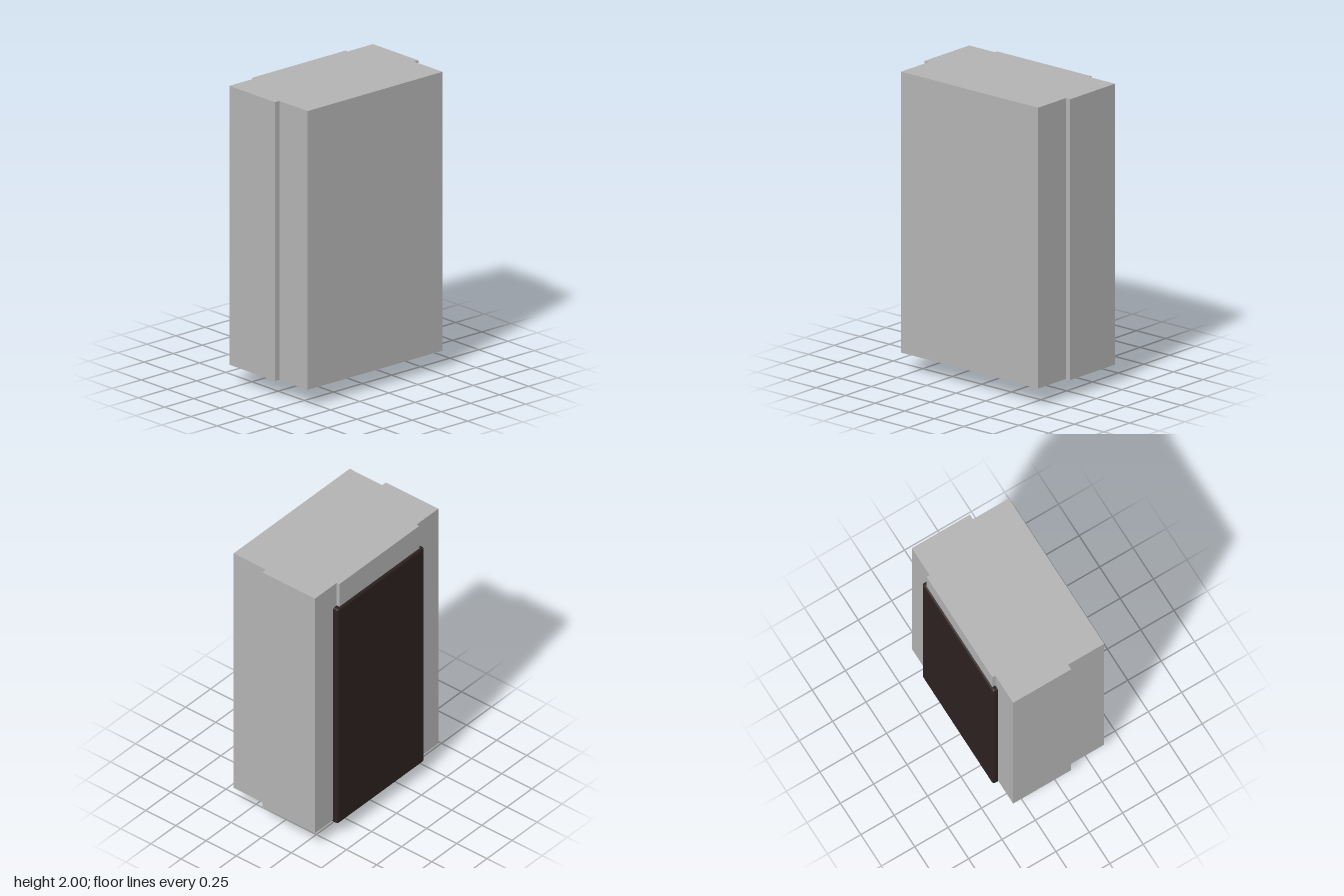
import * as THREE from 'three';
import { RoundedBoxGeometry } from 'three/addons/geometries/RoundedBoxGeometry.js';

export function createModel() {
  const model = new THREE.Group();
  const grey = new THREE.MeshStandardMaterial({ color: 0xb2b2b2 });
  grey.name = 'light grey';
  const dark = new THREE.MeshStandardMaterial({ color: 0x2c2120 });
  dark.name = 'dark brown';

  const add = (name, geometry, material, x, y, z) => {
    const mesh = new THREE.Mesh(geometry, material);
    mesh.name = name;
    mesh.position.set(x, y, z);
    model.add(mesh);
  };

  // Casing: stepped plan outline, extruded straight up (shape y becomes -z)
  const half = [[0.58, -0.37], [0.58, -0.1], [0.617, -0.1], [0.617, 0.335], [0.4, 0.335], [0.4, 0.357]];
  const outline = [...half, ...half.map(([x, y]) => [-x, y]).reverse()];
  const plan = new THREE.Shape(outline.map(([x, y]) => new THREE.Vector2(x, y)));
  const casing = new THREE.ExtrudeGeometry(plan, { depth: 1.88, bevelEnabled: false });
  casing.rotateX(-Math.PI / 2);
  add('casing', casing, grey, 0, 0.12, 0);

  // Dark cover wrapping the back and the underside
  add('backCover', new RoundedBoxGeometry(0.87, 1.72, 0.485, 4, 0.018), dark, 0, 0.96, -0.1305);

  // Oval foot below the cover
  const foot = new THREE.CylinderGeometry(1, 1, 0.11, 64);
  foot.scale(0.184, 1, 0.115);
  add('ovalFoot', foot, grey, 0, 0.055, -0.135);

  return model;
}
